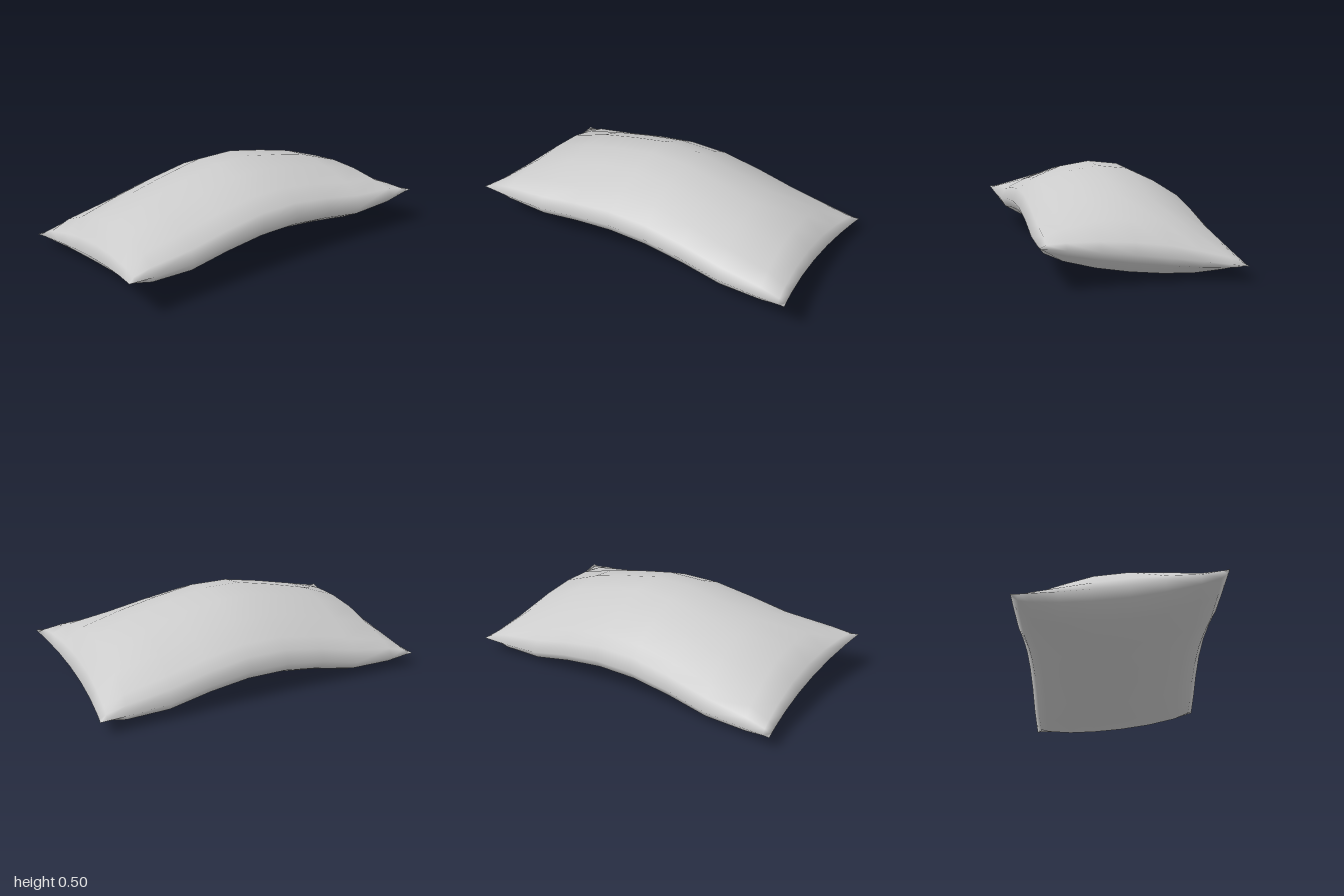
import * as THREE from 'three';
import { mergeGeometries, mergeVertices } from 'three/addons/utils/BufferGeometryUtils.js';

// Cross-sections from the middle out to the end (mirrored for the other half):
// u = position, seam = seam height, top / bottom = fullness of each panel
const columns = [
  { u: 0.12, seam: 0.225, top: 1, bottom: 1 },
  { u: 0.36, seam: 0.195, top: 0.945, bottom: 0.96 },
  { u: 0.6, seam: 0.15, top: 0.91, bottom: 0.89 },
  { u: 0.85, seam: 0.148, top: 0.6, bottom: 0.72 },
  { u: 0.96, seam: 0.153, top: 0.22, bottom: 0.3 },
  { u: 1, seam: 0.155, top: 0, bottom: 0 },
];

// Rows from back to front: v = position, top = fullness of the upper panel
const rows = [
  [-1, 0], [-0.94, 0.25], [-0.84, 0.45], [-0.57, 0.73], [-0.26, 0.96],
  [0.08, 0.98], [0.42, 0.83], [0.75, 0.54], [0.94, 0.28], [1, 0],
].map(([v, top]) => ({ v, top }));

// One cloth panel (side = 1 upper, -1 lower)
function panel(side) {
  const half = columns.length, nx = 2 * half, nz = rows.length;
  const geo = new THREE.PlaneGeometry(2, 2, nx - 1, nz - 1);
  const pos = geo.attributes.position;
  for (let i = 0; i < pos.count; i++) {
    const ix = i % nx, iz = Math.floor(i / nx);
    const col = columns[ix < half ? half - 1 - ix : ix - half];
    const row = rows[side > 0 ? iz : nz - 1 - iz];
    const u = ix < half ? -col.u : col.u;
    const v = row.v;
    // Outline with pulled-in edges and pointed corners
    const x = u * (0.955 + 0.045 * v * v);
    const z = v * (v > 0 ? 0.5 + 0.035 * u * u : 0.53 + 0.01 * u * u);
    // The seam leans down to the back, more so toward the ends
    const seam = col.seam + (0.09 + 0.05 * u * u) * z;
    const fill = side > 0
      ? 0.277 * col.top * row.top
      : -0.156 * col.bottom * Math.sqrt(1 - v * v);
    pos.setXYZ(i, x, seam + fill, z);
  }
  geo.deleteAttribute('uv');
  geo.deleteAttribute('normal');
  return geo;
}

export function createModel() {
  // Join both panels along the seam so the shading runs smoothly around the edge
  const geo = mergeVertices(mergeGeometries([panel(1), panel(-1)]), 1e-4);
  geo.computeVertexNormals();

  const pillow = new THREE.Mesh(geo, new THREE.MeshStandardMaterial({ color: 0xcccccc }));
  pillow.name = 'pillow';
  const group = new THREE.Group();
  group.name = 'bentPillow';
  group.add(pillow);
  return group;
}
